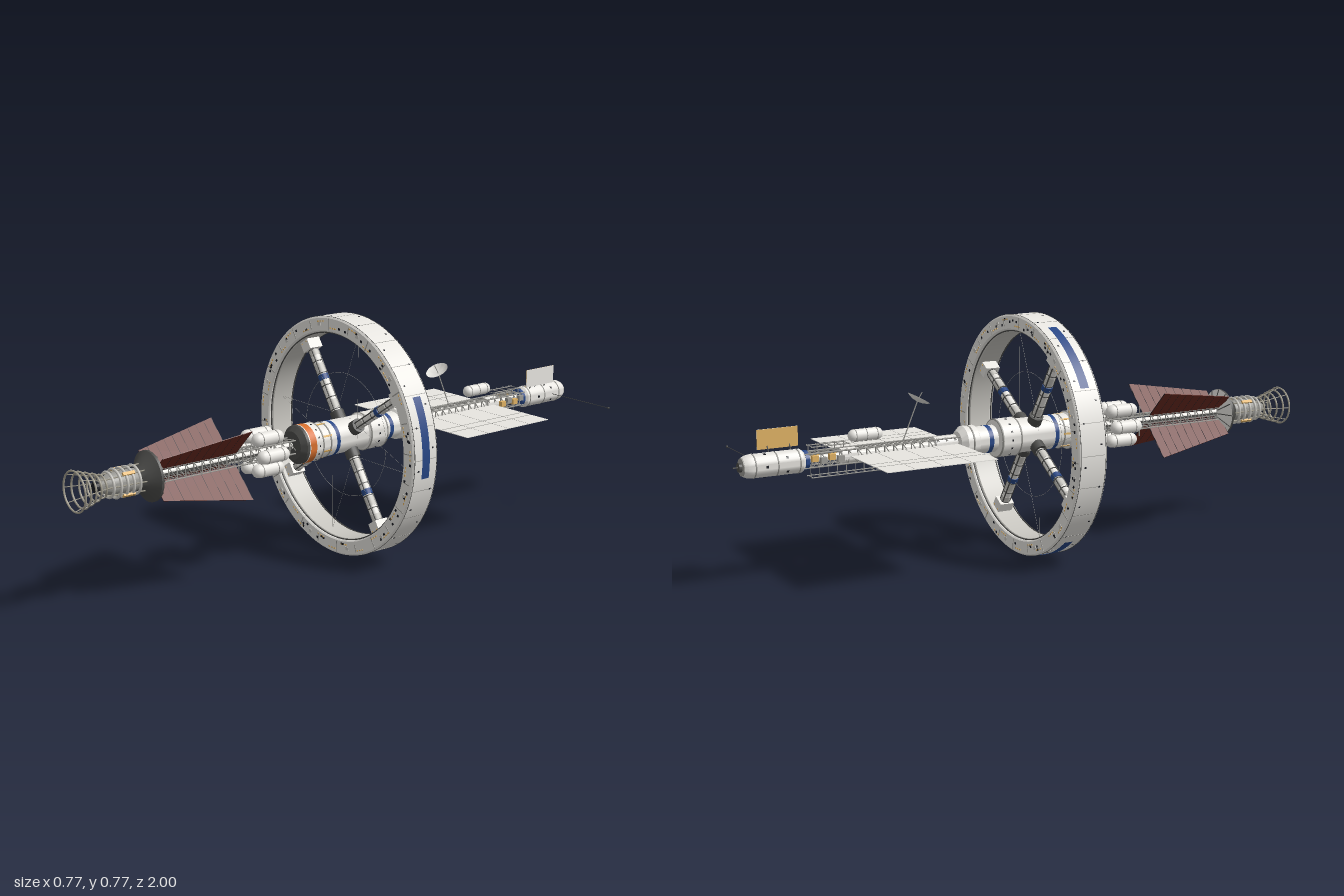
import * as THREE from 'three';
import { mergeGeometries, toCreasedNormals } from 'three/addons/utils/BufferGeometryUtils.js';

const paint = (name, color) => {
  const m = new THREE.MeshStandardMaterial({ color, side: THREE.DoubleSide });
  m.name = name;
  return m;
};
const V = (x, y, z) => new THREE.Vector3(x, y, z);
const polar = (r, a, z = 0) => V(r * Math.cos(a), r * Math.sin(a), z);
const DEG = Math.PI / 180;

// Solid of revolution about z from [radius, z] pairs
function turned(points, sides = 32, start = 0, sweep = Math.PI * 2) {
  const g = new THREE.LatheGeometry(points.map(p => new THREE.Vector2(...p)), sides, start, sweep);
  return toCreasedNormals(g.rotateX(Math.PI / 2), 0.5);
}
const drum = (r, z0, z1, sides = 32) => turned([[0, z0], [r, z0], [r, z1], [0, z1]], sides);
const hoop = (r, t, z, seg = 48) => new THREE.TorusGeometry(r, t, 6, seg).translate(0, 0, z);
const box = (w, h, d, x = 0, y = 0, z = 0) => new THREE.BoxGeometry(w, h, d).translate(x, y, z);

// Straight rod between two points
function rod(p, q, r, sides = 5) {
  const d = q.clone().sub(p);
  const g = new THREE.CylinderGeometry(r, r, d.length(), sides);
  g.applyQuaternion(new THREE.Quaternion().setFromUnitVectors(V(0, 1, 0), d.normalize()));
  return g.translate((p.x + q.x) / 2, (p.y + q.y) / 2, (p.z + q.z) / 2);
}

// Square lattice beam along z
function lattice(z0, z1, h, bays, r) {
  const out = [], step = (z1 - z0) / bays;
  const c = [[-h, -h], [h, -h], [h, h], [-h, h]];
  for (let k = 0; k < 4; k++) {
    const [ax, ay] = c[k], [bx, by] = c[(k + 1) % 4];
    out.push(rod(V(ax, ay, z0), V(ax, ay, z1), r));
    for (let i = 0; i <= bays; i++) {
      const z = z0 + i * step;
      out.push(rod(V(ax, ay, z), V(bx, by, z), r * 0.8));
      if (i < bays) out.push(rod(V(ax, ay, z), V(bx, by, z + step), r * 0.6));
    }
  }
  return out;
}

export function createModel() {
  const white = paint('hull white', 0xebe9e4), panel = paint('light grey', 0xc8c6c0);
  const grey = paint('mid grey', 0x9b9a95), dark = paint('dark grey', 0x4a4a48);
  const black = paint('window black', 0x191b22), blue = paint('band blue', 0x264685);
  const orange = paint('band orange', 0xd8702e), red = paint('radiator red', 0x682a20);
  const gold = paint('gold foil', 0xe0b264), metal = paint('engine metal', 0xa09b8c);

  const model = new THREE.Group(), ship = new THREE.Group();
  ship.name = 'station';
  ship.position.y = 0.387;
  model.add(ship);
  const add = (name, geos, mat) => {
    const list = [geos].flat().map(g => g.index ? g.toNonIndexed() : g);
    const mesh = new THREE.Mesh(mergeGeometries(list), mat);
    mesh.name = name;
    ship.add(mesh);
  };
  let seed = 7;
  const rnd = () => (seed = (seed * 16807) % 2147483647) / 2147483647;

  // Habitat wheel
  add('habitatRing', turned([[0.336, -0.046], [0.34, -0.05], [0.38, -0.05], [0.385, -0.046], [0.385, 0.046],
    [0.38, 0.05], [0.34, 0.05], [0.336, 0.046], [0.336, -0.046]], 120), white);
  add('innerFloor', turned([[0.332, 0.036], [0.332, -0.036], [0.337, -0.04], [0.337, 0.04], [0.332, 0.036]], 120), panel);
  add('rimRails', [-1, 1].flatMap(s => [hoop(0.385, 0.0011, s * 0.044, 120), hoop(0.334, 0.0022, s * 0.042, 120)]), dark);
  const seams = [], windows = [], marks = [], hatches = [];
  const onFace = (w, h, r, a, s) => box(w, h, 0.002, r, 0, s * 0.0502).rotateZ(a);
  for (const s of [-1, 1]) {
    for (let i = 0; i < 24; i++) seams.push(onFace(i % 2 ? 0.026 : 0.038, 0.003, 0.361, (i * 15 + 3) * DEG, s));
    for (let i = 0; i < 46; i++) windows.push(onFace(0.007, 0.008, 0.347 + rnd() * 0.024, rnd() * 6.283, s));
    for (let i = 0; i < 30; i++) {
      const a = (i * 12 + rnd() * 6) * DEG, r = i % 2 ? 0.35 : 0.37;
      for (let k = 0; k < 3; k++) marks.push(onFace(0.004, 0.007, r, a + k * 0.035, s));
    }
    for (let i = 0; i < 12; i++) hatches.push(onFace(0.011, 0.013, 0.362, (i * 30 + 11) * DEG, s));
  }
  for (let i = 0; i < 72; i++) {
    const a = i * 5 * DEG;
    if (i % 2) windows.push(box(0.002, 0.005, 0.006, 0.3847, 0, (i % 4 > 1 ? 1 : -1) * 0.028).rotateZ(a));
    if (i % 3 === 0) seams.push(box(0.002, 0.0015, 0.08, 0.3845, 0, 0).rotateZ(a));
  }
  add('ringSeams', seams, grey);
  add('ringWindows', windows, black);
  add('ringMarks', marks, gold);
  add('ringHatches', hatches, panel);
  // Three blue stripes round the outside of the wheel
  add('ringStripes', [10, 130, 250].map(c => turned([[0.3865, -0.015], [0.3865, 0.015]], 20,
    (90 - 19 + c) * DEG, 38 * DEG)), blue);

  // Four spokes with ribs, bands and end blocks
  const tubes = [], ribs = [], bands = [], blocks = [], ports = [], sleeves = [], stays = [], lamps = [];
  for (let k = 0; k < 4; k++) {
    const a = (33 + 90 * k) * DEG;
    tubes.push(rod(polar(0.04, a), polar(0.335, a), 0.0145, 16));
    bands.push(rod(polar(0.19, a), polar(0.208, a), 0.0172, 16));
    blocks.push(box(0.045, 0.04, 0.05, 0.32, 0, 0).rotateZ(a));
    ports.push(rod(polar(0.04, a), polar(0.08, a), 0.023, 16));
    for (let i = 0; i < 6; i++) ribs.push(rod(polar(0.085 + i * 0.042, a), polar(0.088 + i * 0.042, a), 0.0162, 16));
    for (const r of [0.09, 0.216, 0.275]) sleeves.push(rod(polar(r, a), polar(r + 0.03, a), 0.0152, 16));
    for (const s of [-1, 1]) {
      for (const z of [-1, 1]) ribs.push(box(0.225, 0.003, 0.003, 0.19, s * 0.0085, z * 0.013).rotateZ(a));
      for (const y of [-0.012, 0.012]) lamps.push(box(0.004, 0.004, 0.002, 0.325, y, s * 0.0253).rotateZ(a));
    }
    // Cable stays from the wheel to both sides of the hub
    const m = (79 + 90 * k) * DEG;
    for (const s of [-1, 1]) stays.push(rod(polar(0.336, m), polar(0.062, m + s * 80 * DEG), 0.0005, 4));
  }
  stays.push(hoop(0.2, 0.0005, 0, 96));
  add('spokes', tubes, white);
  add('spokeSleeves', sleeves, panel);
  add('spokeRibs', ribs, dark);
  add('spokeBands', bands, blue);
  add('spokeBlocks', blocks, white);
  add('spokeLamps', lamps, gold);
  add('spokePorts', ports, dark);
  add('cableStays', stays, grey);

  // Central hub
  add('hub', turned([[0, -0.262], [0.035, -0.262], [0.05, -0.245], [0.05, -0.205], [0.043, -0.2], [0.043, -0.135],
    [0.061, -0.13], [0.061, -0.06], [0.055, -0.055], [0.055, 0.128], [0.061, 0.133], [0.061, 0.195], [0, 0.195]], 40), white);
  add('hubOrangeBand', turned([[0.0622, 0.163], [0.0622, 0.187]], 40), orange);
  add('hubBlueBands', [turned([[0.0562, 0.064], [0.0562, 0.078]], 40), turned([[0.0442, -0.168], [0.0442, -0.153]], 40)], blue);
  add('hubCollars', [[0.0615, 0.135], [0.056, 0.1], [0.0615, -0.062], [0.0615, -0.128], [0.051, -0.225]]
    .map(([r, z]) => hoop(r - 0.002, 0.0032, z)), grey);
  const hubWin = [], hubFoil = [];
  for (let i = 0; i < 14; i++) {
    const a = i * Math.PI / 7;
    hubWin.push(box(0.002, 0.006, 0.006, 0.061, 0, -0.095).rotateZ(a), box(0.002, 0.005, 0.005, 0.061, 0, 0.15).rotateZ(a));
    if (i % 2) hubFoil.push(box(0.003, 0.006, 0.035, 0.055, 0, 0.113).rotateZ(a));
  }
  add('hubWindows', hubWin, black);
  add('hubFoil', hubFoil, gold);
  add('hubEndCap', turned([[0.0615, 0.19], [0.0615, 0.2], [0.045, 0.215], [0, 0.22]], 40), dark);

  // Lattice beams fore and aft, with a core tube
  add('trussBeams', [...lattice(-0.79, -0.25, 0.021, 18, 0.0026), ...lattice(0.21, 0.75, 0.021, 18, 0.0026)], grey);
  add('coreTube', [drum(0.011, -0.79, -0.25, 12), drum(0.011, 0.21, 0.75, 12)], white);
  add('trussConduits', [-1, 1].map(s => box(0.006, 0.006, 0.5, s * 0.018, 0, 0.48)), dark);

  // Ring of six propellant tanks
  const tanks = [], straps = [];
  for (let k = 0; k < 6; k++) {
    const p = polar(0.057, k * 60 * DEG);
    tanks.push(new THREE.CapsuleGeometry(0.0215, 0.072, 5, 16).rotateX(Math.PI / 2).translate(p.x, p.y, 0.33));
    for (const z of [0.302, 0.358]) {
      straps.push(hoop(0.0215, 0.0014, z, 18).translate(p.x, p.y, 0));
      straps.push(rod(V(0, 0, z), V(p.x, p.y, z), 0.003));
    }
  }
  straps.push(rod(V(-0.07, 0, 0.42), V(0.07, 0, 0.42), 0.0025), rod(V(0, -0.05, 0.42), V(0, 0.05, 0.42), 0.0025));
  add('tanks', tanks, white);
  add('tankStraps', straps, grey);

  // Four tapered radiators crossed by thin dark pipes
  const fins = [], frames = [];
  const edge = z => 0.151 - (z - 0.445) * 0.21;
  const outline = new THREE.Shape([[0.022, 0.445], [edge(0.445), 0.445], [edge(0.738), 0.738], [0.022, 0.738]]
    .map(p => new THREE.Vector2(...p)));
  for (let k = 0; k < 4; k++) {
    const a = (45 + 90 * k) * DEG;
    fins.push(new THREE.ExtrudeGeometry(outline, { depth: 0.002, bevelEnabled: false })
      .translate(0, 0, -0.001).rotateX(Math.PI / 2).rotateZ(a));
    for (let i = 0; i < 10; i++) {
      const z = 0.446 + i * 0.0323;
      frames.push(rod(polar(0.022, a, z), polar(edge(z), a, z), 0.0014));
    }
    frames.push(rod(polar(0.024, a, 0.445), polar(0.024, a, 0.738), 0.0018));
  }
  add('radiators', fins, red);
  add('radiatorFrames', frames, black);

  // Shadow shield
  add('shieldBack', turned([[0.02, 0.722], [0.078, 0.742]], 24), white);
  add('shieldFront', turned([[0.078, 0.742], [0.078, 0.75], [0.05, 0.772], [0.035, 0.79], [0, 0.79]], 24), dark);
  add('shieldRibs', Array.from({ length: 12 }, (_, i) =>
    rod(polar(0.022, i * 30 * DEG, 0.722), polar(0.077, i * 30 * DEG, 0.741), 0.0018)), dark);

  // Reactor and open nozzle cage
  add('reactor', turned([[0.03, 0.785], [0.034, 0.8], [0.034, 0.88], [0.02, 0.91], [0.014, 0.925], [0, 0.925]], 24), grey);
  add('reactorCoils', [0.8, 0.822, 0.844, 0.866, 0.888].map((z, i) => hoop(0.043 - (i === 4 ? 0.005 : 0), 0.0042, z, 32)), panel);
  const cage = [], pods = [];
  for (let i = 0; i < 5; i++) cage.push(hoop(0.034 + i * 0.0068, 0.0032, 0.91 + i * 0.0217, 40));
  for (let k = 0; k < 8; k++) {
    const a = k * 45 * DEG;
    cage.push(rod(polar(0.033, a, 0.905), polar(0.061, a, 0.998), 0.0016), rod(polar(0.044, a, 0.78), polar(0.034, a, 0.91), 0.0022));
    if (k % 2) pods.push(box(0.006, 0.01, 0.04, 0.046, 0, 0.835).rotateZ(a));
  }
  add('nozzleCage', cage, metal);
  add('reactorPods', pods, gold);
  add('nozzleThroat', drum(0.0165, 0.92, 0.932, 20), black);

  // Solar wings with grid lines
  const wings = [], grid = [];
  for (const s of [-1, 1]) {
    wings.push(box(0.262, 0.002, 0.365, s * 0.149, 0, -0.4525));
    for (const x of [0.16, 0.2]) grid.push(box(0.003, 0.003, 0.365, s * x, 0, -0.4525));
    for (const z of [-0.36, -0.4525, -0.545]) grid.push(box(0.262, 0.0028, 0.001, s * 0.149, 0, z));
  }
  add('solarWings', wings, white);
  add('solarGrid', grid, grey);

  // Dish on a mast, facing up and forward
  const dish = turned([[0.002, 0], [0.018, 0.0025], [0.03, 0.007], [0.038, 0.012]], 28)
    .rotateX(-60 * DEG).translate(0, 0.142, -0.398);
  add('dish', dish, white);
  add('dishMast', [rod(V(0, 0.02, -0.45), V(0, 0.142, -0.398), 0.002),
    rod(V(0, 0.142, -0.398), V(0, 0.17, -0.381), 0.0015)], grey);

  // Stores carried on the forward beam
  add('cargoTank', [new THREE.CapsuleGeometry(0.019, 0.075, 5, 16).rotateX(Math.PI / 2).translate(0, 0.058, -0.575),
    drum(0.026, -0.345, -0.27, 20), drum(0.024, -0.66, -0.61, 16)], white);
  add('cargoStraps', [-0.61, -0.575, -0.54].map(z => hoop(0.019, 0.0014, z, 18).translate(0, 0.058, 0)), grey);
  const rails = [-0.018, 0.018].flatMap(x => [rod(V(x, -0.053, -0.76), V(x, -0.053, -0.52), 0.0018),
    rod(V(x, 0.04, -0.76), V(x, 0.04, -0.64), 0.0018)]);
  for (let i = 0; i < 9; i++) {
    const z = -0.755 + i * 0.029;
    rails.push(rod(V(-0.018, -0.053, z), V(0.018, -0.053, z), 0.0015), rod(V(0, -0.053, z), V(0, -0.018, z), 0.0012));
    if (i < 5) rails.push(rod(V(-0.03, 0.04, z), V(0.03, 0.04, z), 0.0015), rod(V(0.018, 0.018, z), V(0.018, 0.042, z), 0.0015));
  }
  add('storeRails', rails, grey);
  const crates = [], boxes = [];
  for (let i = 0; i < 4; i++) for (const s of [-1, 1])
    ((i + (s > 0)) % 2 ? crates : boxes).push(box(0.014, 0.018, 0.02, s * 0.03, 0.008 * (i % 2), -0.67 - i * 0.028));
  add('foilCrates', crates, gold);
  add('greyCrates', boxes, grey);

  // Command module at the far end
  add('commandModule', turned([[0, -0.972], [0.028, -0.972], [0.033, -0.963], [0.036, -0.948], [0.036, -0.79], [0.028, -0.78], [0, -0.78]], 28), white);
  add('commandBand', drum(0.03, -0.781, -0.768, 28), blue);
  add('commandCollars', [-0.8, -0.87, -0.94].map(z => hoop(0.035, 0.0025, z, 32)), grey);
  add('commandWindows', Array.from({ length: 10 }, (_, i) =>
    box(0.002, 0.008, 0.007, 0.0358, 0, i % 2 ? -0.905 : -0.84).rotateZ(i * 36 * DEG)), black);
  add('endCap', drum(0.027, -0.975, -0.971, 28), grey);
  add('dockingPort', [drum(0.014, -0.984, -0.97, 20), rod(V(0, 0, -0.98), V(0, 0, -1), 0.002)], dark);
  add('sidePanel', box(0.002, 0.06, 0.13, 0.031, 0.07, -0.847), white);
  add('sidePanelFoil', box(0.002, 0.06, 0.13, 0.029, 0.07, -0.847), gold);
  add('sidePanelStruts', [-0.81, -0.88].map(z => rod(V(0.015, 0.025, z), V(0.03, 0.05, z), 0.002)), dark);
  add('longAntenna', [rod(V(0.03, 0, -0.905), V(0.3, 0, -0.905), 0.0011),
    new THREE.SphereGeometry(0.004, 8, 6).translate(0.3, 0, -0.905)], dark);
  return model;
}
